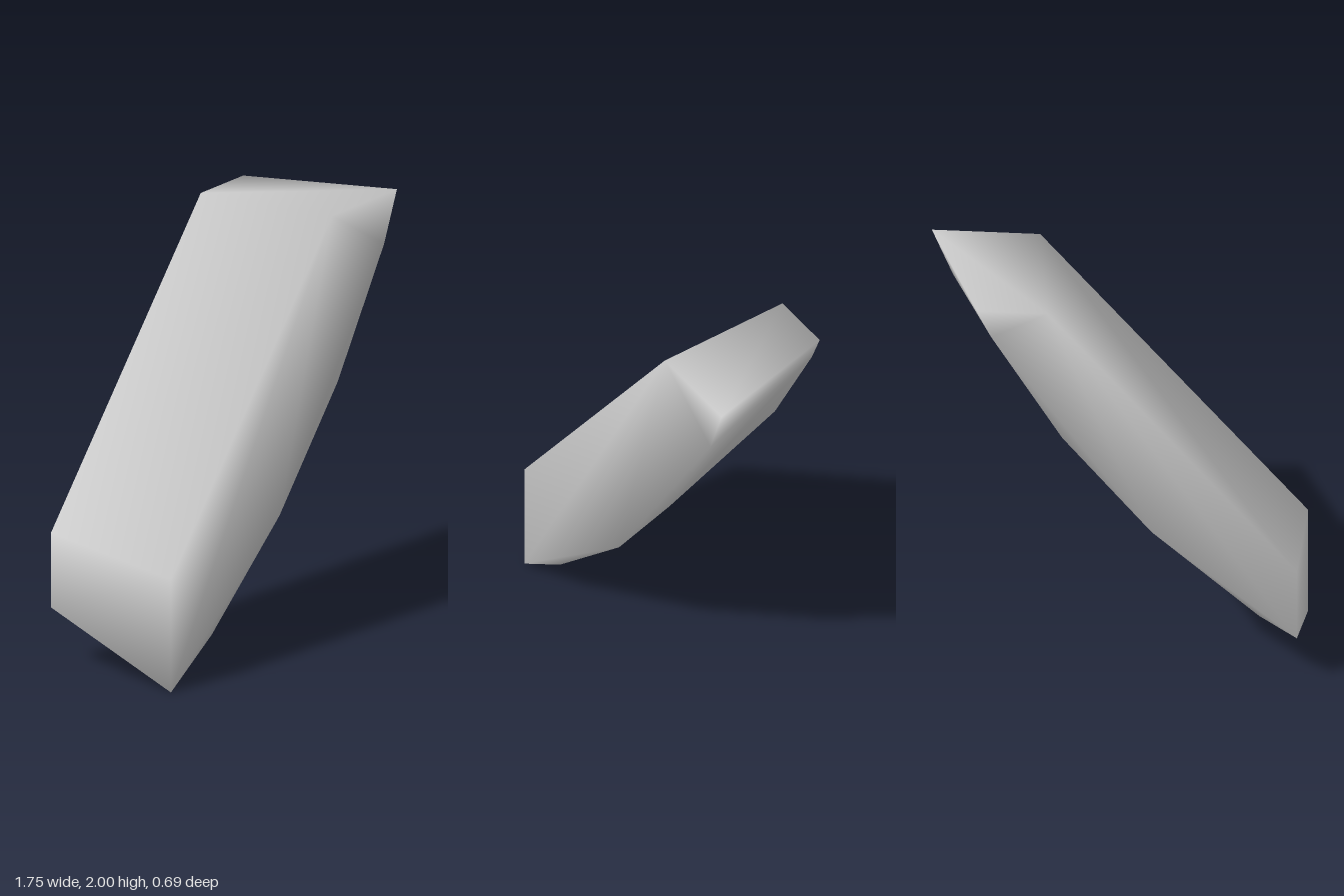
import * as THREE from 'three';

const HALF_DEPTH = 0.347;

// Cross-sections at the front and back, counter-clockwise: curved underside, level top cut, straight slope.
const frontSection = [
  [-0.876, 0], [-0.56, 0.2], [-0.035, 0.645], [0.415, 1.18],
  [0.775, 1.76], [0.874, 2], [0.37, 2], [-0.876, 0.55],
];
const backSection = [
  [-0.876, 0.28], [-0.7, 0.395], [-0.2, 0.83], [0.215, 1.325],
  [0.545, 1.86], [0.612, 2], [0.283, 2], [-0.876, 0.645],
];

// Joins two matching sections into one closed, smoothly shaded solid.
function loftSections(front, back) {
  const n = front.length;
  const positions = [
    ...front.flatMap(([x, y]) => [x, y, HALF_DEPTH]),
    ...back.flatMap(([x, y]) => [x, y, -HALF_DEPTH]),
  ];
  const index = [];
  const outline = front.map(([x, y]) => new THREE.Vector2(x, y));
  for (const [a, b, c] of THREE.ShapeUtils.triangulateShape(outline, [])) {
    index.push(a, b, c, n + a, n + c, n + b);
  }
  for (let i = 0; i < n; i++) {
    const j = (i + 1) % n;
    index.push(i, n + i, n + j, i, n + j, j);
  }
  const geometry = new THREE.BufferGeometry();
  geometry.setAttribute('position', new THREE.Float32BufferAttribute(positions, 3));
  geometry.setIndex(index);
  geometry.computeVertexNormals();
  return geometry;
}

export function createModel() {
  const group = new THREE.Group();
  group.name = 'curvedBrace';

  const material = new THREE.MeshStandardMaterial({ color: 0xcccccc });
  material.name = 'light grey';

  // Slanted brace with a curved, tilted underside
  const brace = new THREE.Mesh(loftSections(frontSection, backSection), material);
  brace.name = 'brace';
  group.add(brace);
  return group;
}
